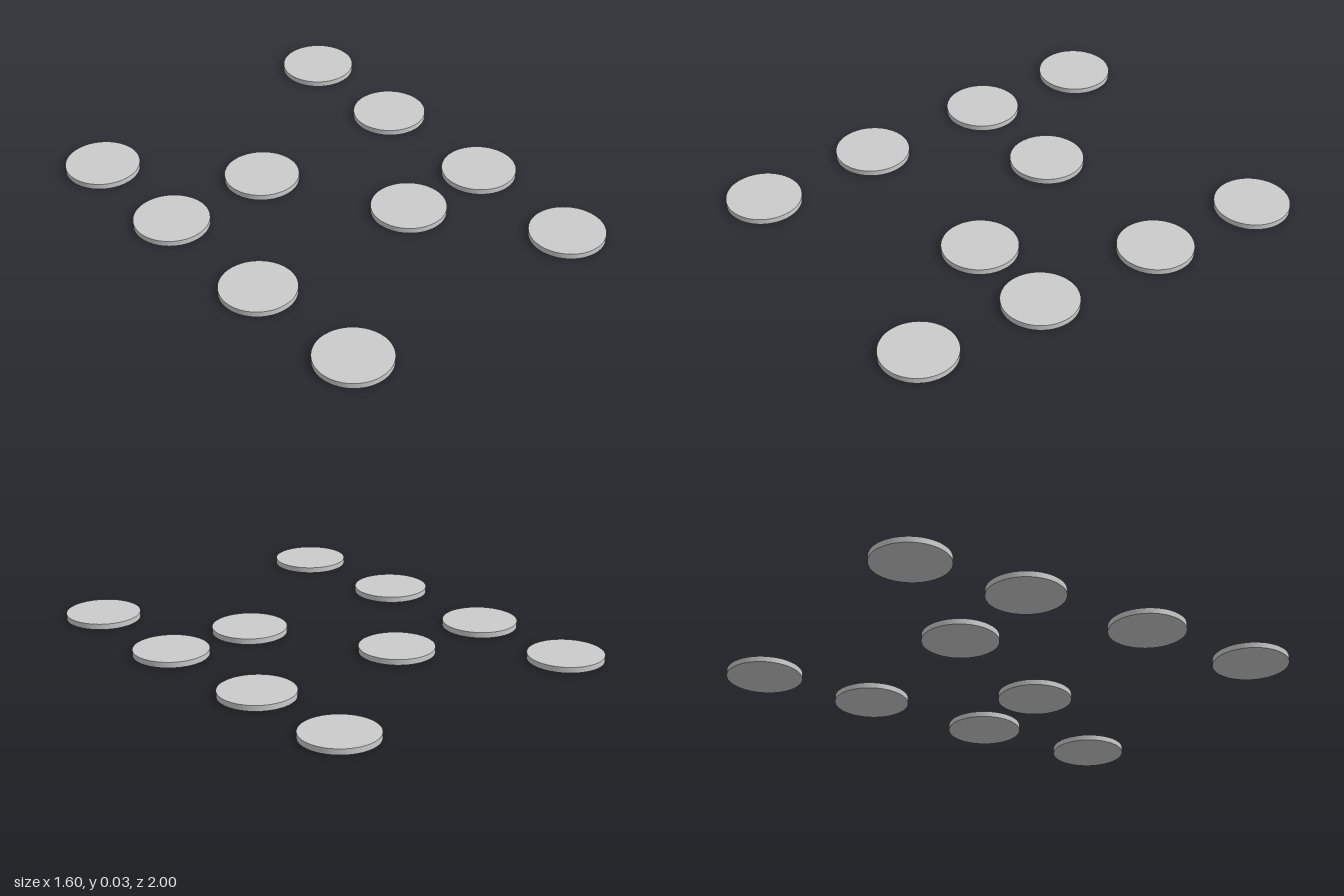
import * as THREE from 'three';

const RADIUS = 0.163;
const HEIGHT = 0.025;

// Rows of discs from back to front: z position and the x centres in that row
const ROWS = [
  { name: 'back', z: -0.837, xs: [-0.613, 0.634] },
  { name: 'midBack', z: -0.316, xs: [-0.626, -0.135, 0.617] },
  { name: 'midFront', z: 0.275, xs: [-0.637, 0.189, 0.608] },
  { name: 'front', z: 0.837, xs: [-0.624, 0.571] },
];

export function createModel() {
  const model = new THREE.Group();
  model.name = 'discLayout';
  const material = new THREE.MeshStandardMaterial({ color: 0xcccccc });

  // One flat round disc, resting on the ground, shared by all positions
  const geometry = new THREE.CylinderGeometry(RADIUS, RADIUS, HEIGHT, 64);
  geometry.translate(0, HEIGHT / 2, 0);

  for (const { name, z, xs } of ROWS) {
    const row = new THREE.Group();
    row.name = `${name}Row`;
    row.position.z = z;
    xs.forEach((x, i) => {
      const disc = new THREE.Mesh(geometry, material);
      disc.name = `${name}Disc${i + 1}`;
      disc.position.x = x;
      row.add(disc);
    });
    model.add(row);
  }
  return model;
}
